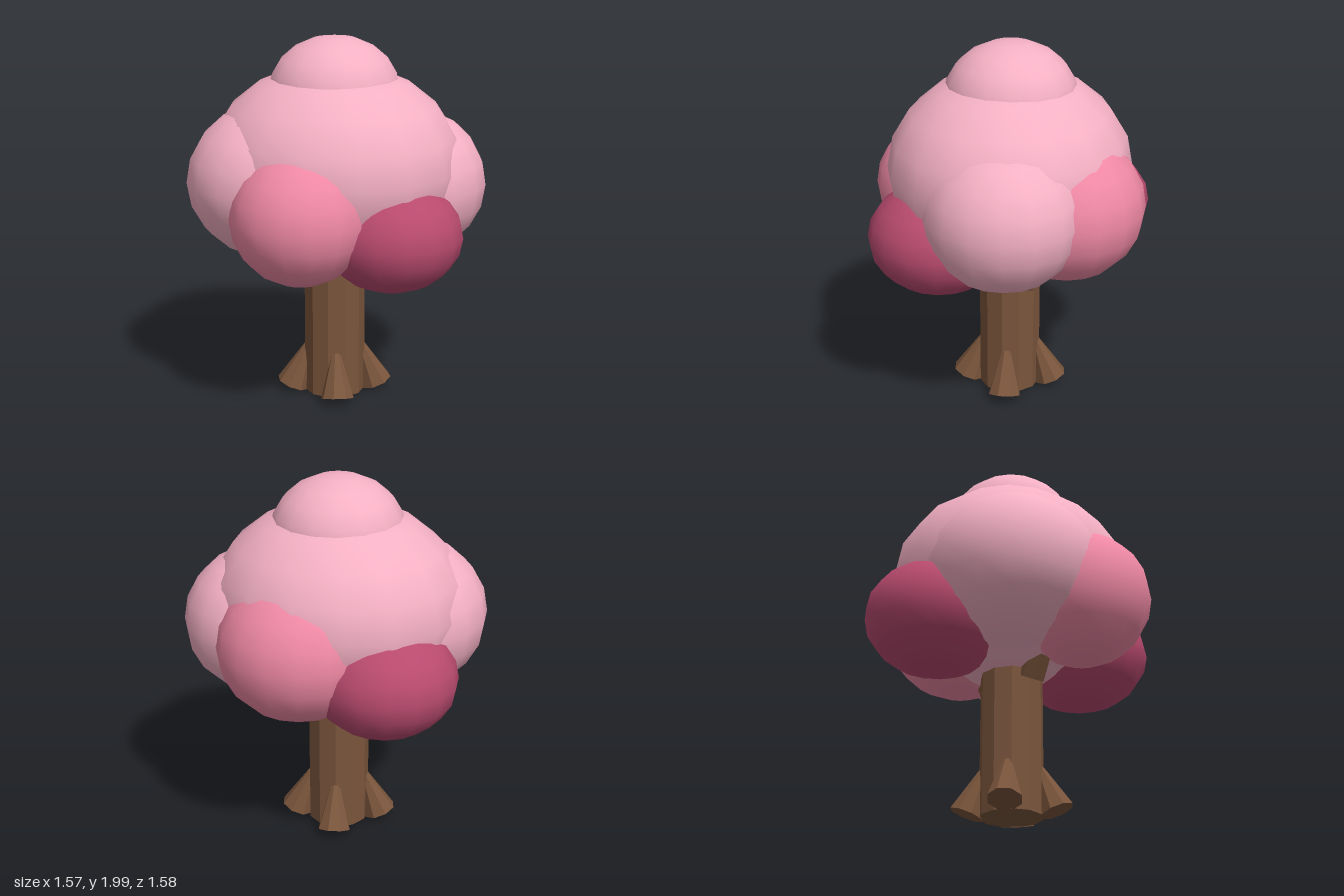
import * as THREE from 'three';

const mat = (color, flatShading = false) => new THREE.MeshStandardMaterial({ color, flatShading });

export function createModel() {
  const tree = new THREE.Group();
  tree.name = 'blossomTree';
  const bark = mat(0x7a553c, true);
  const light = mat(0xf4b0c4), medium = mat(0xee88a4), dark = mat(0xb84a6e);

  const add = (name, geometry, material, parent = tree) => {
    const mesh = new THREE.Mesh(geometry, material);
    mesh.name = name;
    parent.add(mesh);
    return mesh;
  };

  // Tapered log running from one point to another
  const log = (name, from, to, rFrom, rTo, sides, parent) => {
    const a = new THREE.Vector3(...from), b = new THREE.Vector3(...to);
    const dir = b.clone().sub(a);
    const mesh = add(name, new THREE.CylinderGeometry(rTo, rFrom, dir.length(), sides), bark, parent);
    mesh.position.copy(a).add(b).multiplyScalar(0.5);
    mesh.quaternion.setFromUnitVectors(new THREE.Vector3(0, 1, 0), dir.normalize());
    return mesh;
  };

  // Trunk with four roots set round it like a pinwheel
  const base = new THREE.Group();
  base.name = 'trunkAndRoots';
  base.position.set(-0.02, 0, -0.02);
  tree.add(base);
  log('trunk', [0, 0.01, 0], [0, 1, 0], 0.168, 0.168, 11, base);
  for (let i = 0; i < 4; i++) {
    const pivot = new THREE.Group();
    pivot.name = 'rootPivot';
    pivot.rotation.y = i * Math.PI / 2;
    base.add(pivot);
    log('root', [0.065, 0.037, 0.225], [0.04, 0.265, 0.14], 0.092, 0.025, 8, pivot);
  }

  // Short branches reaching up into the foliage
  log('frontBranch', [-0.08, 0.74, 0.12], [-0.16, 1, 0.25], 0.075, 0.07, 7);
  log('backBranch', [0.055, 0.68, -0.14], [0.14, 0.94, -0.27], 0.07, 0.065, 7);

  // Foliage clumps: name, material, centre, radii
  const clumps = [
    ['crown', light, [-0.02, 1.31, -0.02], [0.69, 0.545, 0.65]],
    ['crownTop', light, [-0.02, 1.7, -0.025], [0.355, 0.3, 0.355]],
    ['rightClump', light, [-0.32, 1.24, 0.12], [0.465, 0.42, 0.475]],
    ['leftClump', light, [0.37, 1.2, -0.15], [0.415, 0.4, 0.425]],
    ['frontClump', medium, [-0.1, 1.125, 0.42], [0.37, 0.36, 0.37]],
    ['backClump', medium, [0.06, 1.17, -0.38], [0.43, 0.39, 0.41]],
    ['frontLowClump', dark, [0.34, 1.005, 0.23], [0.375, 0.3, 0.38]],
    ['backLowClump', dark, [-0.38, 1.03, -0.29], [0.385, 0.305, 0.385]],
  ];
  const ball = new THREE.SphereGeometry(1, 16, 10);
  for (const [name, material, centre, radii] of clumps) {
    const clump = add(name, ball, material);
    clump.position.set(...centre);
    clump.scale.set(...radii);
  }
  return tree;
}
